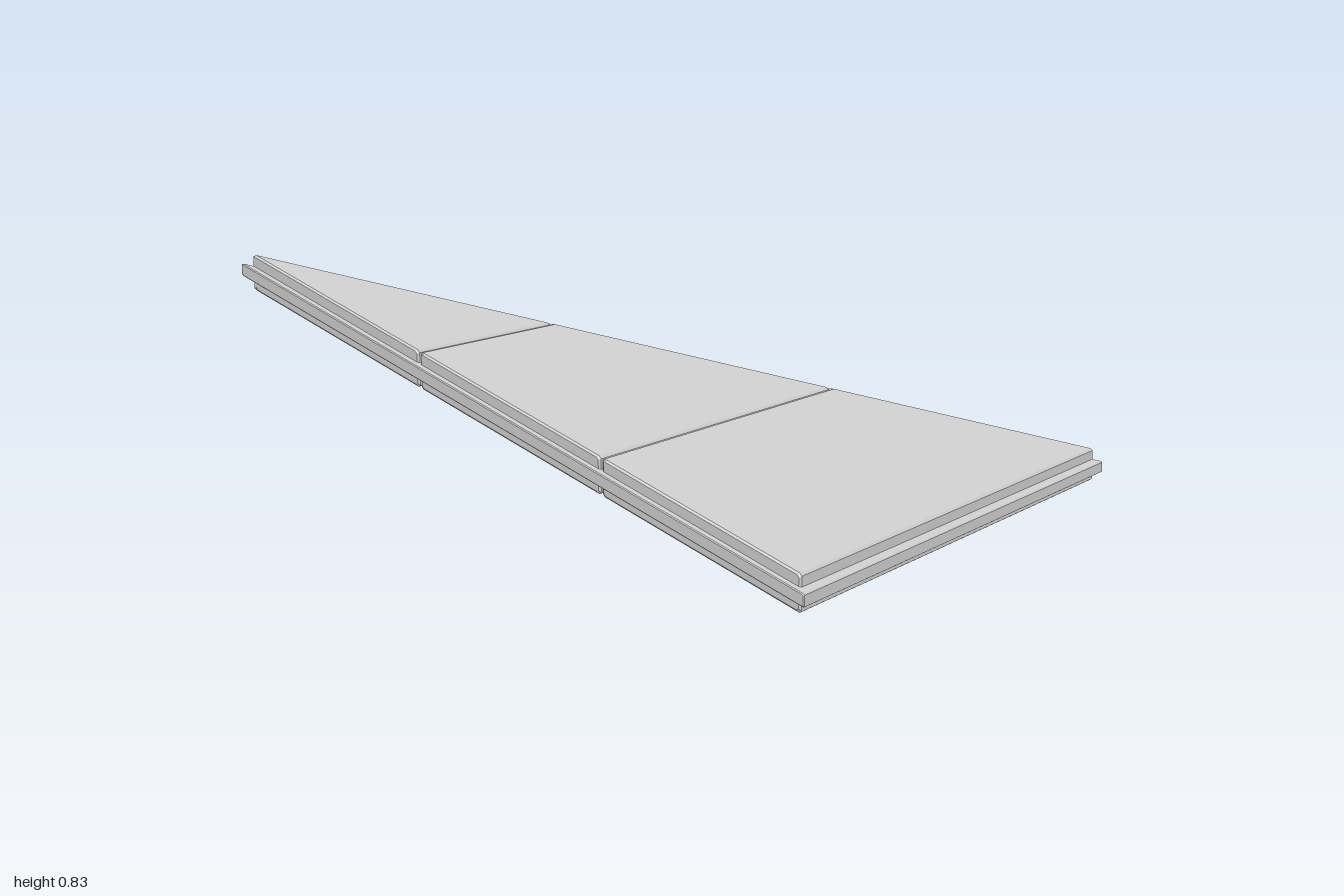
import * as THREE from 'three';

const SLOPE = 0.374, MID = 0.42; // roof pitch and mid-height of the slab at the centre
const material = new THREE.MeshStandardMaterial({ color: 0xcccccc, flatShading: true });

// Chamfered cross-section of a sloping slab: t runs down the slope, y is height
function section(t0, t1, half, c, inset) {
  const a = t0 + inset, b = t1 - inset, h = half - inset;
  return [
    [a, c - h], [a + c, -h], [b - c, -h], [b, c - h],
    [b, h - c], [b - c, h], [a + c, h], [a, h - c],
  ].map(([t, off]) => [t, MID - SLOPE * t + off]);
}

// L-shaped slab folded over the hip: the section runs from the front edge back
// to the diagonal, turns the corner and runs out to the left edge
function hipBand(name, t0, t1, half, edge, c) {
  const full = section(t0, t1, half, c, 0);
  const small = section(t0, t1, half, c, c);
  const reach = t => Math.max(edge - c, -t);
  const rings = [
    small.map(([t, y]) => [t, y, edge]),
    full.map(([t, y]) => [t, y, reach(t)]),
    full.map(([t, y]) => [t, y, -t]),
    full.map(([t, y]) => [-reach(t), y, -t]),
    small.map(([t, y]) => [-edge, y, -t]),
  ];
  const pos = [];
  const tri = (p, q, r) => pos.push(...p, ...q, ...r);
  const n = full.length, last = rings[rings.length - 1];
  for (let i = 0; i < rings.length - 1; i++) {
    for (let j = 0; j < n; j++) {
      const k = (j + 1) % n, A = rings[i], B = rings[i + 1];
      tri(A[j], B[j], B[k]);
      tri(A[j], B[k], A[k]);
    }
  }
  // End caps
  for (let j = 1; j < n - 1; j++) {
    tri(rings[0][0], rings[0][j], rings[0][j + 1]);
    tri(last[0], last[j + 1], last[j]);
  }
  const geometry = new THREE.BufferGeometry();
  geometry.setAttribute('position', new THREE.Float32BufferAttribute(pos, 3));
  geometry.computeVertexNormals();
  const mesh = new THREE.Mesh(geometry, material);
  mesh.name = name;
  return mesh;
}

export function createModel() {
  const group = new THREE.Group();
  group.name = 'hipRoofCorner';

  // Three roof courses separated by narrow seams
  const E = 0.975, gap = 0.003;
  const cuts = [-E, -0.325, 0.325, E];
  const names = ['upperCourse', 'middleCourse', 'lowerCourse'];
  names.forEach((name, i) => {
    const t0 = cuts[i] + (i > 0 ? gap : 0);
    const t1 = cuts[i + 1] - (i < 2 ? gap : 0);
    group.add(hipBand(name, t0, t1, 0.055, E, 0.006));
  });

  // Continuous core sheet whose rim stands out as a tongue on all four sides
  group.add(hipBand('tongueSheet', -1, 1, 0.019, 1, 0.003));
  return group;
}
